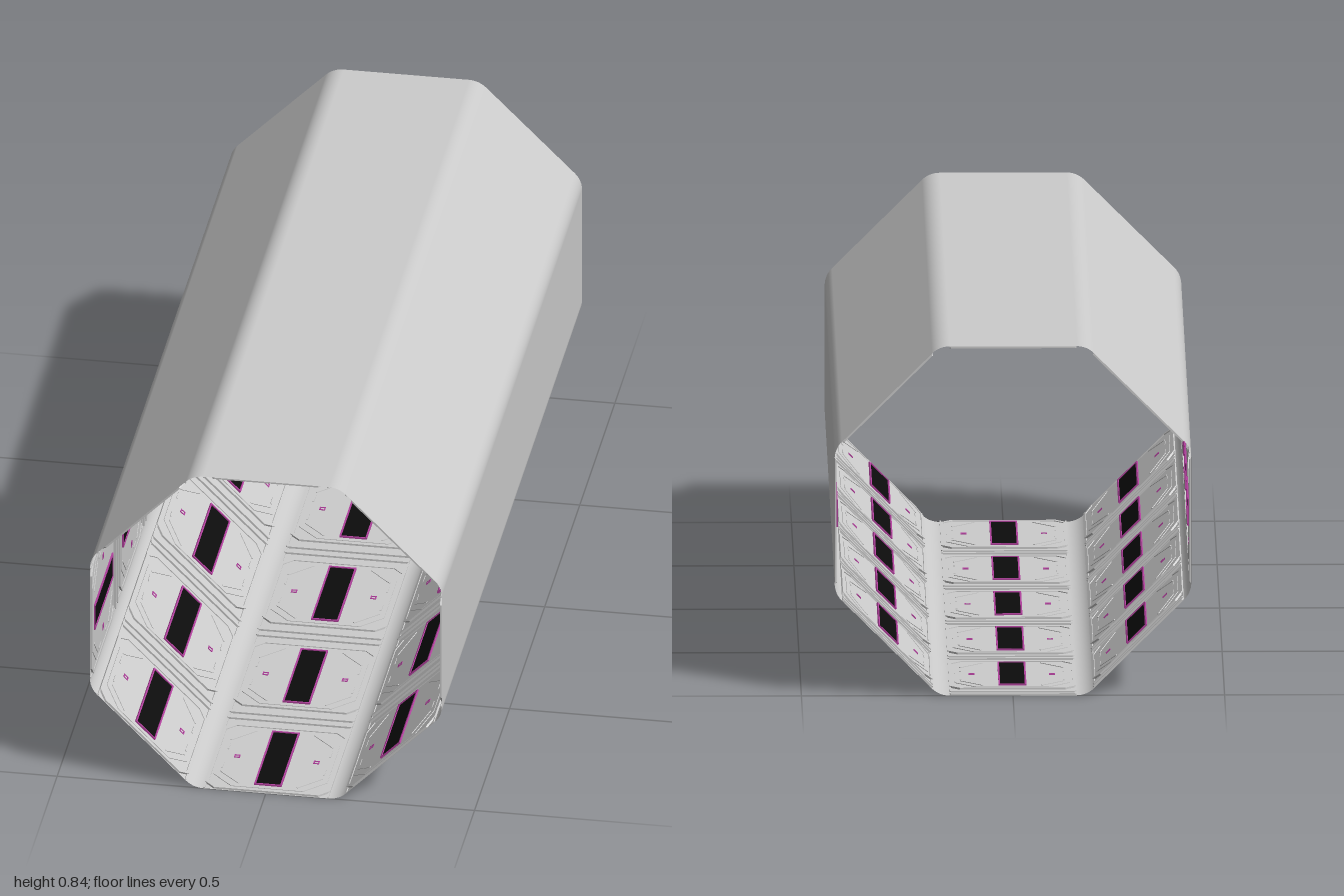
import * as THREE from 'three';

const R = 0.4215;            // distance from the axis to each outer wall
const FLAT = 0.15;           // half width of the flat part of a wall
const BEND = 0.059;          // radius of the rounded corners
const PITCH = 0.405;         // spacing of the panels along the tunnel
const FIRST = 0.842;         // z of the front row of panels

const grey = new THREE.MeshStandardMaterial({ color: 0xcccccc });
const greyOpen = new THREE.MeshStandardMaterial({ color: 0xcccccc, side: THREE.DoubleSide });
const black = new THREE.MeshStandardMaterial({ color: 0x0c0c0c });
const magenta = new THREE.MeshStandardMaterial({ color: 0xb0409c });

// Thin octagonal skin with rounded corners, open at both ends
function shellGeometry() {
  const pos = [], nor = [], idx = [], steps = 6;
  for (let k = 0; k < 8; k++) {
    const mid = (k + 0.5) * Math.PI / 4;
    const d = (R - BEND) / Math.cos(Math.PI / 8);
    for (let i = 0; i <= steps; i++) {
      const a = (k + i / steps) * Math.PI / 4;
      const x = d * Math.cos(mid) + BEND * Math.cos(a);
      const y = d * Math.sin(mid) + BEND * Math.sin(a);
      for (const z of [1, -1]) {
        pos.push(x, y + R, z);
        nor.push(Math.cos(a), Math.sin(a), 0);
      }
    }
  }
  const n = pos.length / 6;
  for (let i = 0; i < n; i++) {
    const a = 2 * i, b = 2 * ((i + 1) % n);
    idx.push(a, b, a + 1, b, b + 1, a + 1);
  }
  const g = new THREE.BufferGeometry();
  g.setAttribute('position', new THREE.Float32BufferAttribute(pos, 3));
  g.setAttribute('normal', new THREE.Float32BufferAttribute(nor, 3));
  g.setIndex(idx);
  return g;
}

// Rectangle with cut corners, as a list of points
function outline(w, l, cut) {
  const x = w / 2, y = l / 2;
  const pts = cut === 0
    ? [[x, -y], [x, y], [-x, y], [-x, -y]]
    : [[x, cut - y], [x, y - cut], [x - cut, y], [cut - x, y],
      [-x, y - cut], [-x, cut - y], [cut - x, -y], [x - cut, -y]];
  return pts.map(p => new THREE.Vector2(...p));
}

// Flat plate or frame lying on a wall: x across, y inward, z along the tunnel
function plate(outer, inner, from, to) {
  const shape = new THREE.Shape(outer);
  if (inner) shape.holes.push(new THREE.Path(inner));
  return new THREE.ExtrudeGeometry(shape, { depth: to - from, bevelEnabled: false })
    .rotateX(-Math.PI / 2).translate(0, from, 0);
}

const box = (w, h, l, x, y, z) => new THREE.BoxGeometry(w, h, l).translate(x, y, z);

function panelParts() {
  const parts = [
    ['panelPlate', plate(outline(0.3, 0.312, 0.025), null, 0.0004, 0.003), grey],
    ['panelRim', plate(outline(0.3, 0.312, 0.025), outline(0.284, 0.296, 0.022), 0.003, 0.005), grey],
    ['panelField', plate(outline(0.272, 0.284, 0.05), null, 0.003, 0.0045), grey],
    ['windowFrame', plate(outline(0.066, 0.26, 0), outline(0.058, 0.252, 0), 0.0045, 0.0085), magenta],
    ['windowPane', box(0.058, 0.0015, 0.252, 0, 0.0053, 0), black],
  ];
  // Small square markers on both sides of the window
  for (const s of [-1, 1]) {
    parts.push(['marker', plate(outline(0.014, 0.014, 0), outline(0.008, 0.008, 0), 0.0045, 0.0058)
      .translate(s * 0.095, 0, 0), magenta]);
    // Diagonal strips near the corners and short dashes along the edge
    for (const t of [-1, 1]) {
      parts.push(['cornerStrip', new THREE.BoxGeometry(0.004, 0.0015, 0.075)
        .rotateY(-s * t * Math.PI / 4).translate(s * 0.096, 0.0052, t * 0.102), grey]);
      parts.push(['edgeDash', box(0.004, 0.0015, 0.03, s * 0.122, 0.0052, t * 0.045), grey]);
    }
  }
  return parts;
}

export function createModel() {
  const model = new THREE.Group();
  model.name = 'octagonalTunnel';
  const add = (parent, name, geometry, material) => {
    const mesh = new THREE.Mesh(geometry, material);
    mesh.name = name;
    parent.add(mesh);
    return mesh;
  };

  add(model, 'outerShell', shellGeometry(), greyOpen);

  const parts = panelParts();
  const rib = plate(outline(0.3, 0.011, 0.003), null, 0.0004, 0.005);
  const edgeRail = box(0.004, 0.0025, 2, FLAT - 0.002, 0.0017, 0);

  for (let k = 0; k < 8; k++) {
    // Each wall is laid out as the floor and turned around the axis
    const wall = new THREE.Group();
    wall.name = 'wall';
    wall.position.y = R;
    wall.rotation.z = k * Math.PI / 4;
    const lining = new THREE.Group();
    lining.name = 'wallLining';
    lining.position.y = -R;
    wall.add(lining);
    model.add(wall);

    for (let i = 0; i < 5; i++) {
      const panel = new THREE.Group();
      panel.name = 'panel';
      panel.position.z = FIRST - i * PITCH;
      for (const [name, geometry, material] of parts) add(panel, name, geometry, material);
      lining.add(panel);

      // Pair of ribs behind every panel
      for (const s of [-1, 1]) {
        add(lining, 'rib', rib, grey).position.z = FIRST - (i + 0.5) * PITCH + s * 0.014;
      }
    }
    // Long rails where the wall meets the rounded corners
    add(lining, 'edgeRail', edgeRail, grey);
    add(lining, 'edgeRail', edgeRail, grey).position.x = -2 * FLAT + 0.004;
  }
  return model;
}
